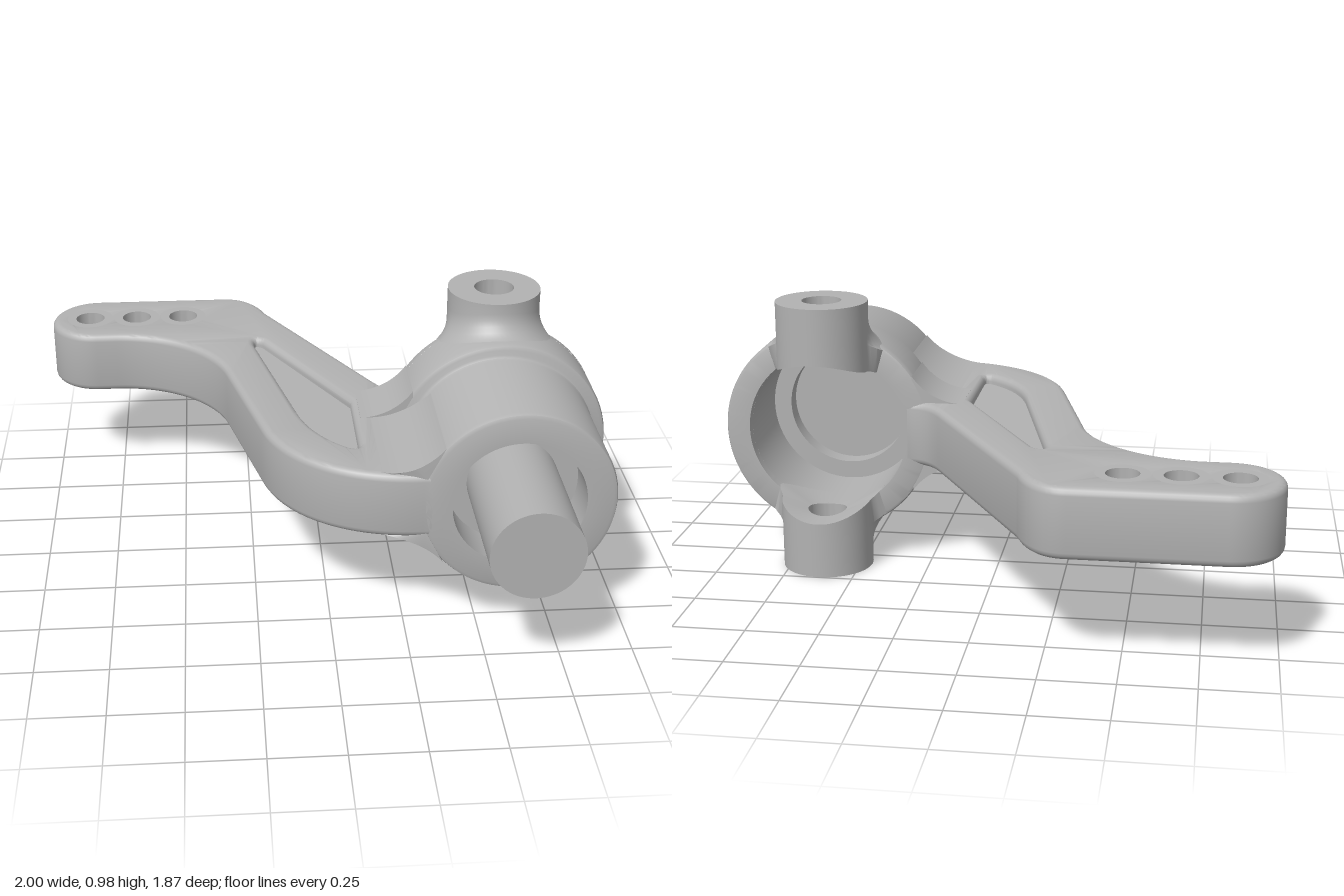
import * as THREE from 'three';
import { toCreasedNormals } from 'three/addons/utils/BufferGeometryUtils.js';

const CX = 0.62, CY = 0.495;      // barrel axis
const HALF = 0.1175, BEVEL = 0.025; // arm half thickness and edge rounding
const FLANGE = 0.377, BARREL = 0.33, CUP = 0.29;

const v = (pts) => pts.map(([a, b]) => new THREE.Vector2(a, b));

export function createModel() {
  const model = new THREE.Group();
  model.name = 'steeringKnuckle';
  const metal = new THREE.MeshStandardMaterial({ color: 0xb2b2b2 });
  metal.name = 'cast grey metal';

  const add = (name, geo, x = 0, y = 0, z = 0, crease = 0.6) => {
    const mesh = new THREE.Mesh(toCreasedNormals(geo, crease), metal);
    mesh.name = name;
    mesh.position.set(x, y, z);
    model.add(mesh);
    return mesh;
  };
  // Turned part about the z axis; profile is [radius, z]
  const turned = (pts, start = 0, length = Math.PI * 2) =>
    new THREE.LatheGeometry(v(pts), 72, start, length).rotateX(Math.PI / 2);

  // Hollow barrel with flange, stepped cup behind and bearing seat in front
  add('barrel', turned([
    [CUP, -0.01], [FLANGE, -0.01], [FLANGE, 0.15], [0.372, 0.164], [0.36, 0.17],
    [0.343, 0.172], [0.334, 0.177], [BARREL, 0.187], [BARREL, 0.582], [0.325, 0.595],
    [0.313, 0.6], [0.225, 0.6], [0.225, 0.44], [0.15, 0.44], [0.15, 0.37],
    [0.225, 0.37], [0.225, 0.3], [CUP, 0.3], [CUP, -0.01],
  ]), CX, CY);

  // Rear rim of the flange, interrupted where the pivot holes pass
  for (const start of [0, Math.PI]) {
    add('flangeRim', turned([
      [CUP, -0.01], [CUP, -0.048], [0.365, -0.048], [0.373, -0.044], [FLANGE, -0.035], [FLANGE, -0.01],
    ], start + 0.27, Math.PI - 0.54), CX, CY);
  }

  // Stub shaft
  add('shaft', new THREE.CylinderGeometry(0.155, 0.155, 0.56, 64).rotateX(Math.PI / 2), CX, CY, 0.65);

  // Pivot bosses: tubes whose inner end follows the cup and whose foot flares onto the flange
  const pivotBoss = () => {
    const R = 0.163, HOLE = 0.07, FLARE = 0.085, STEPS = 6;
    const rows = [(w) => [R + 0.04 * w, CUP, 0]];
    for (let k = 0; k <= STEPS; k++) {
      const a = (k / STEPS) * Math.PI / 2;
      rows.push((w) => [R + FLARE * w * (1 - Math.sin(a)), 0.37, FLARE * (1 - Math.cos(a))]);
    }
    rows.push(() => [R, 0, 0.49], () => [HOLE, 0, 0.49], () => [HOLE, CUP, 0], rows[0]);
    const geo = new THREE.LatheGeometry(rows.map((_, i) => new THREE.Vector2(1, i)), 64);
    const p = geo.attributes.position;
    for (let i = 0; i < p.count; i++) {
      const dx = p.getX(i), dz = p.getZ(i);
      const [r, round, lift] = rows[i % rows.length](THREE.MathUtils.smoothstep(dz, -0.1, 0.4));
      const x = dx * r;
      p.setXYZ(i, x, Math.sqrt(Math.max(0, round * round - x * x)) + lift, dz * r);
    }
    return geo;
  };
  add('upperPivotBoss', pivotBoss(), CX, CY, -0.085);
  add('lowerPivotBoss', pivotBoss(), CX, CY, -0.085).rotation.z = Math.PI;

  // Steering arm outline, drawn in x and z
  const arm = new THREE.Shape();
  arm.moveTo(-0.825, -0.94);
  arm.lineTo(-0.33, -0.94);
  arm.bezierCurveTo(-0.24, -0.94, -0.19, -0.87, -0.16, -0.78);
  arm.lineTo(0.2, -0.14);
  arm.bezierCurveTo(0.235, -0.08, 0.27, -0.048, 0.328, -0.048);
  arm.lineTo(0.328, 0.6);
  arm.lineTo(0.3, 0.6);
  arm.bezierCurveTo(0.02, 0.6, -0.17, 0.43, -0.22, 0.2);
  arm.lineTo(-0.33, -0.25);
  arm.bezierCurveTo(-0.38, -0.45, -0.56, -0.59, -0.75, -0.59);
  arm.lineTo(-0.825, -0.59);
  arm.absarc(-0.825, -0.765, 0.175, Math.PI / 2, Math.PI * 1.5, false);

  // Lightening pocket outline
  const pocket = new THREE.Shape();
  pocket.moveTo(-0.185, -0.51);
  pocket.lineTo(0.105, 0.025);
  pocket.lineTo(0.105, 0.35);
  pocket.quadraticCurveTo(0.105, 0.395, 0.07, 0.365);
  pocket.bezierCurveTo(-0.02, 0.29, -0.06, 0.2, -0.085, 0.1);
  pocket.lineTo(-0.217, -0.48);
  pocket.quadraticCurveTo(-0.225, -0.55, -0.185, -0.51);

  const holeXs = [-0.855, -0.673, -0.491], holeZ = -0.765;
  arm.holes.push(pocket);
  for (const x of holeXs) {
    const hole = new THREE.Path();
    hole.absarc(x, holeZ, 0.063, 0, Math.PI * 2, false);
    arm.holes.push(hole);
  }
  // Lays a flat shape down so that it is centred on the arm's mid height
  const slab = (shape, half, bevel) => new THREE.ExtrudeGeometry(shape, {
    depth: 2 * (half - bevel), bevelEnabled: bevel > 0, bevelThickness: bevel,
    bevelSize: bevel, bevelOffset: -bevel, bevelSegments: 4, curveSegments: 24,
  }).translate(0, 0, -(half - bevel)).rotateX(Math.PI / 2);

  add('steeringArm', slab(arm, HALF, BEVEL), 0, CY, 0);
  add('pocketFloor', slab(new THREE.Shape(pocket.getPoints(24)), HALF - 0.035, 0), 0, CY, 0);

  // Tie rod holes with crisp edges
  for (const x of holeXs) {
    add('tieRodHole', new THREE.LatheGeometry(v([
      [0.055, -HALF], [0.0885, -HALF], [0.0885, HALF], [0.055, HALF], [0.055, -HALF],
    ]), 40), x, CY, holeZ);
  }

  // Fillets blending the arm into the barrel and flange, above and below
  const fillet = (radius, blend, z0, z1, side) => {
    const sx = Math.sqrt((radius + blend) ** 2 - (HALF + blend) ** 2);
    const shape = new THREE.Shape();
    shape.moveTo(-sx, side * HALF);
    const end = Math.atan2(-(HALF + blend), sx);
    for (let i = 1; i <= 14; i++) {
      const a = -Math.PI / 2 + (end + Math.PI / 2) * (i / 14);
      shape.lineTo(-sx + blend * Math.cos(a), side * (HALF + blend + blend * Math.sin(a)));
    }
    shape.lineTo(-0.31, side * 0.1);
    shape.lineTo(-sx, side * 0.1);
    const geo = new THREE.ExtrudeGeometry(shape, { depth: z1 - z0, bevelEnabled: false });
    // Pull the front end back to follow the arm's rounded outline
    const p = geo.attributes.position;
    for (let i = 0; i < p.count; i++) {
      const back = 1.8 * Math.max(0, 0.3 - CX - p.getX(i)) ** 2;
      p.setZ(i, Math.min(p.getZ(i) + z0, 0.598 - back));
    }
    return geo;
  };
  for (const side of [1, -1]) {
    add('barrelFillet', fillet(BARREL, 0.27, 0.1, 0.598, side), CX, CY);
    add('flangeFillet', fillet(FLANGE, 0.22, -0.046, 0.168, side), CX, CY);
  }

  return model;
}
